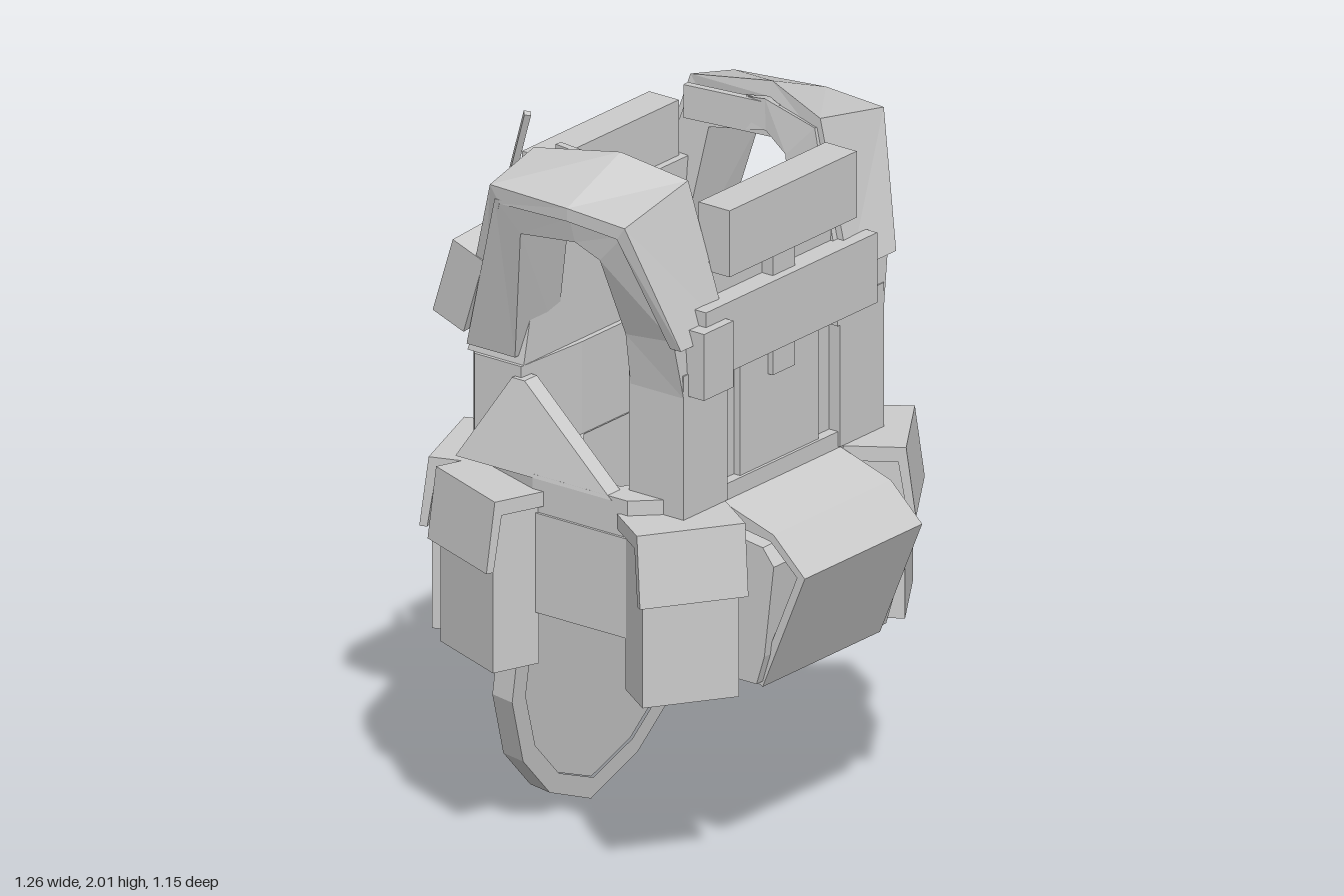
import * as THREE from 'three';

const material = new THREE.MeshStandardMaterial({ color: 0xcccccc, flatShading: true });

export function createModel() {
  const model = new THREE.Group();

  const add = (name, geometry, parent = model) => {
    const mesh = new THREE.Mesh(geometry, material);
    mesh.name = name;
    parent.add(mesh);
    return mesh;
  };
  // Box given by its limits on each axis
  const box = (name, [x0, x1], [y0, y1], [z0, z1], parent) => {
    const mesh = add(name, new THREE.BoxGeometry(x1 - x0, y1 - y0, z1 - z0), parent);
    mesh.position.set((x0 + x1) / 2, (y0 + y1) / 2, (z0 + z1) / 2);
    return mesh;
  };
  const shape = (points) => new THREE.Shape(points.map(([a, b]) => new THREE.Vector2(a, b)));
  const extrude = (s, depth) => new THREE.ExtrudeGeometry(s, { depth, bevelEnabled: false });
  // Half outline mirrored about x = 0
  const symmetric = (half) => [...half, ...half.map(([x, y]) => [-x, y]).reverse()];
  // Side outline of (z, y) points, extruded across x and centred
  const sideProfile = (points, width) =>
    extrude(shape(points), width).translate(0, 0, -width / 2).rotateY(-Math.PI / 2);

  // Solid through four-cornered sections; side -1 mirrors it
  const loft = (sections, side) => {
    const positions = [];
    const quad = (a, b, c, d) => {
      const order = side > 0 ? [a, b, c, a, c, d] : [a, c, b, a, d, c];
      for (const [x, y, z] of order) positions.push(x * side, y, z);
    };
    for (let i = 0; i < sections.length - 1; i++) {
      const p = sections[i], q = sections[i + 1];
      for (let j = 0; j < 4; j++) quad(p[j], p[(j + 1) % 4], q[(j + 1) % 4], q[j]);
    }
    const [a, b, c, d] = sections[0];
    quad(d, c, b, a);
    quad(...sections[sections.length - 1]);
    const geometry = new THREE.BufferGeometry();
    geometry.setAttribute('position', new THREE.Float32BufferAttribute(positions, 3));
    geometry.computeVertexNormals();
    return geometry;
  };

  // Front panel with raised columns and centre plate
  const torso = symmetric([[0.41, 0.98], [0.41, 1.4], [0.26, 1.68]]);
  add('frontPanel', extrude(shape(torso), 0.14).translate(0, 0, 0.145));
  box('frontLowerPanel', [-0.38, 0.38], [0.6, 1], [0.15, 0.29]);
  box('frontCentrePlate', [-0.16, 0.16], [1.07, 1.39], [0.28, 0.305]);
  box('frontTab', [-0.045, 0.045], [1.31, 1.68], [0.28, 0.32]);
  box('chestBand', [-0.35, 0.35], [1.39, 1.58], [0.27, 0.345]);
  box('chestPocket', [-0.39, -0.27], [1.36, 1.54], [0.27, 0.37]);

  // Back panel: flat below, then leaning inward and narrowing
  const backPlan = symmetric([[0.18, -0.185], [0.41, -0.2], [0.41, -0.35], [0.37, -0.385]]);
  add('backPanel', extrude(shape(backPlan), 0.64).rotateX(Math.PI / 2).translate(0, 1.32, 0));
  const level = (y, x, front, back) =>
    [[-x, y, front], [x, y, front], [x, y, back], [-x, y, back]];
  add('upperBackPanel', loft(
    [level(1.32, 0.4, -0.2, -0.38), level(1.5, 0.36, -0.2, -0.34), level(1.68, 0.28, -0.2, -0.295)], 1));
  const backDetails = new THREE.Group();
  backDetails.name = 'backWebbing';
  backDetails.position.set(0, 1.49, -0.345);
  backDetails.rotation.x = 0.25;
  model.add(backDetails);
  box('webbingBand', [-0.3, 0.3], [0.03, 0.09], [-0.015, 0.02], backDetails);
  box('centreTab', [-0.045, 0.045], [-0.14, 0.08], [-0.03, 0.02], backDetails);
  box('crossTab', [-0.11, 0.11], [-0.05, 0.01], [-0.022, 0.02], backDetails);
  const backPocket = box('backPocket', [0.12, 0.26], [-0.1, 0.08], [-0.05, 0.02], backDetails);
  backPocket.rotation.z = -0.12;

  // Collar guards
  box('frontCollar', [-0.26, 0.26], [1.65, 1.83], [0.25, 0.35]);
  box('backCollar', [-0.26, 0.26], [1.65, 1.83], [-0.315, -0.22]);

  // Belt ring around the waist
  const ring = shape(symmetric(
    [[0.36, 0.33], [0.48, 0.2], [0.48, -0.12], [0.41, -0.34], [0.3, -0.4]]));
  ring.holes.push(new THREE.Path(symmetric(
    [[0.34, 0.15], [0.41, 0.12], [0.41, -0.03], [0.18, -0.19]]
  ).map(([x, z]) => new THREE.Vector2(x, z))));
  add('belt', extrude(ring, 0.27).rotateX(Math.PI / 2).translate(0, 0.97, 0));
  const upperBelt = extrude(ring, 0.1).rotateX(Math.PI / 2).translate(0, 1.07, 0);
  add('upperBelt', upperBelt.scale(0.985, 1, 0.95));

  // Shoulder sections: outer face inner/outer edge, then underside outer/inner edge
  const strap = [
    [[0.22, 1.36, 0.32], [0.41, 1.36, 0.32], [0.41, 1.36, 0.15], [0.22, 1.36, 0.15]],
    [[0.23, 1.52, 0.31], [0.44, 1.52, 0.31], [0.43, 1.5, 0.15], [0.23, 1.5, 0.15]],
    [[0.26, 1.86, 0.215], [0.52, 1.81, 0.215], [0.51, 1.72, 0.13], [0.25, 1.77, 0.13]],
    [[0.28, 1.89, 0.04], [0.52, 1.815, 0.04], [0.51, 1.75, 0.05], [0.27, 1.81, 0.05]],
    [[0.3, 1.85, -0.215], [0.5, 1.8, -0.215], [0.49, 1.72, -0.14], [0.28, 1.77, -0.14]],
    [[0.24, 1.34, -0.375], [0.41, 1.34, -0.375], [0.41, 1.34, -0.22], [0.24, 1.34, -0.22]],
  ];
  const pad = [
    [[0.25, 1.5, 0.335], [0.44, 1.5, 0.335], [0.44, 1.5, 0.3], [0.25, 1.5, 0.3]],
    [[0.27, 1.885, 0.225], [0.53, 1.835, 0.225], [0.53, 1.8, 0.2], [0.27, 1.84, 0.2]],
    [[0.31, 1.93, 0.04], [0.53, 1.845, 0.04], [0.53, 1.81, 0.04], [0.3, 1.89, 0.04]],
    [[0.32, 1.88, -0.23], [0.5, 1.835, -0.23], [0.5, 1.79, -0.2], [0.32, 1.84, -0.2]],
    [[0.29, 1.6, -0.315], [0.45, 1.6, -0.315], [0.45, 1.6, -0.28], [0.29, 1.6, -0.28]],
  ];
  // Lidded pouch facing the given turn from +z
  const pouch = (name, x, z, turn) => {
    const group = new THREE.Group();
    group.name = name;
    group.position.set(x, 0, z);
    group.rotation.y = turn;
    model.add(group);
    box('pouchBody', [-0.128, 0.128], [0.56, 1.0], [-0.13, 0.006], group);
    add('pouchLid', sideProfile([[-0.15, 0.99], [-0.15, 1.03], [0.01, 1.03],
      [0.035, 0.84], [0.014, 0.84], [-0.01, 0.99]], 0.288), group);
  };

  for (const side of [1, -1]) {
    const prefix = side > 0 ? 'left' : 'right';
    const span = (a, b) => (side > 0 ? [a, b] : [-b, -a]);
    box(prefix + 'FrontColumn', span(0.23, 0.41), [1.03, 1.42], [0.27, 0.32]);
    add(prefix + 'ShoulderStrap', loft(strap, side));
    add(prefix + 'ShoulderPad', loft(pad, side));

    // Narrow webbing on the inner edge of the shoulder
    const webbing = box(prefix + 'NeckWebbing', span(0.268, 0.288), [1.79, 1.88], [-0.2, 0.08]);
    webbing.rotation.y = side * 0.13;

    // Triangular side flap leaning inward toward its top
    const flap = sideProfile([[-0.18, 1.29], [-0.22, 1.29], [-0.36, 1.06], [0.14, 1.06]], 0.05);
    const p = flap.attributes.position;
    for (let i = 0; i < p.count; i++) {
      p.setX(i, p.getX(i) + side * (0.45 - (p.getY(i) - 1.06) * 0.23));
    }
    flap.computeVertexNormals();
    add(prefix + 'SideFlap', flap);

    pouch(prefix + 'FrontPouch', side * 0.443, 0.366, side * 0.588);
    pouch(prefix + 'SidePouch', side * 0.545, -0.262, side * 1.937);
    pouch(prefix + 'BackPouch', side * 0.324, -0.495, side * 2.793);
  }

  // Large front pouch with a thin flared flap
  add('frontPouchBody', sideProfile([[0.28, 0.57], [0.44, 0.57], [0.465, 0.65],
    [0.495, 0.9], [0.46, 0.945], [0.28, 0.97]], 0.53));
  add('frontPouchFlap', sideProfile([[0.3, 0.98], [0.3, 1.03], [0.475, 0.975], [0.575, 0.88],
    [0.44, 0.555], [0.42, 0.565], [0.55, 0.877], [0.465, 0.955]], 0.48));

  // Hanging lower guard with a rim standing slightly proud
  const outer = symmetric([[0.385, 0.74], [0.385, 0.4], [0.31, 0.21], [0.18, 0.08], [0, 0.005]]);
  const inner = symmetric([[0.33, 0.7], [0.33, 0.4], [0.265, 0.24], [0.15, 0.125], [0, 0.065]]);
  const rim = shape(outer);
  rim.holes.push(new THREE.Path(inner.map(([x, y]) => new THREE.Vector2(x, y))));
  const guard = new THREE.Group();
  guard.name = 'lowerGuard';
  guard.position.z = -0.362;
  guard.rotation.x = 0.125;
  model.add(guard);
  add('guardRim', extrude(rim, 0.064), guard);
  add('guardPanel', extrude(shape(inner), 0.05).translate(0, 0, 0.007), guard);

  // Radio with antenna on the right of the back
  const radio = box('radio', [-0.445, -0.26], [1.4, 1.63], [-0.425, -0.32]);
  radio.rotation.set(0.35, 0, 0.08);
  const rod = (name, from, to, radius) => {
    const a = new THREE.Vector3(...from), b = new THREE.Vector3(...to);
    const mesh = add(name, new THREE.CylinderGeometry(radius, radius, a.distanceTo(b), 4));
    mesh.position.copy(a).add(b).multiplyScalar(0.5);
    mesh.quaternion.setFromUnitVectors(new THREE.Vector3(0, 1, 0), b.sub(a).normalize());
  };
  rod('antennaBase', [-0.325, 1.58, -0.35], [-0.335, 1.69, -0.31], 0.03);
  rod('antenna', [-0.33, 1.66, -0.33], [-0.385, 2.0, -0.2], 0.012);

  return model;
}
